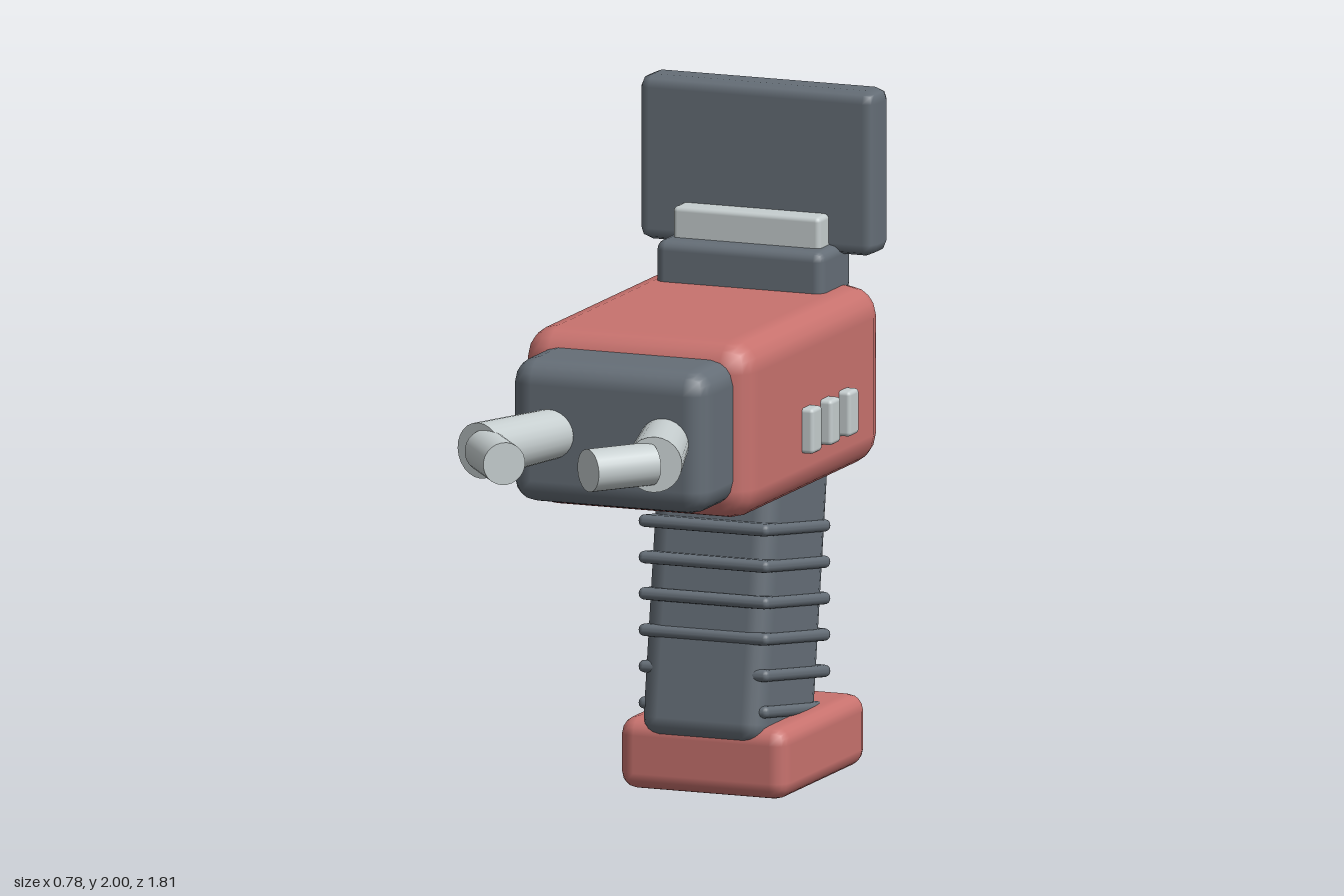
import * as THREE from 'three';
import { RoundedBoxGeometry } from 'three/addons/geometries/RoundedBoxGeometry.js';

const material = (name, color) => {
  const m = new THREE.MeshStandardMaterial({ color });
  m.name = name;
  return m;
};

export function createModel() {
  const group = new THREE.Group();
  const coral = material('coral', 0xc8726e);
  const slate = material('slate', 0x656e77);
  const silver = material('silver', 0xc6cecf);
  const glass = material('darkGlass', 0x263840);

  const add = (name, geometry, mat) => {
    const mesh = new THREE.Mesh(geometry, mat);
    mesh.name = name;
    group.add(mesh);
    return mesh;
  };

  // Rounded box given by its extents on each axis
  const block = (name, mat, [x0, x1], [y0, y1], [z0, z1], radius, segments = 2) => {
    const mesh = add(name, new RoundedBoxGeometry(x1 - x0, y1 - y0, z1 - z0, segments, radius), mat);
    mesh.position.set((x0 + x1) / 2, (y0 + y1) / 2, (z0 + z1) / 2);
    return mesh;
  };

  // Cylinder between two points
  const rod = (name, mat, a, b, ra, rb) => {
    const dir = b.clone().sub(a);
    const mesh = add(name, new THREE.CylinderGeometry(rb, ra, dir.length(), 24), mat);
    mesh.position.copy(a).add(b).multiplyScalar(0.5);
    mesh.quaternion.setFromUnitVectors(new THREE.Vector3(0, 1, 0), dir.normalize());
    return mesh;
  };

  // Main housing, nose and foot
  block('body', coral, [-0.355, 0.355], [0.91, 1.43], [-0.81, 0.22], 0.09);
  block('nose', slate, [-0.305, 0.305], [0.96, 1.38], [0.1, 0.42], 0.07);
  block('base', coral, [-0.26, 0.26], [0, 0.21], [-0.91, -0.285], 0.05);

  // Leaning handle with a stack of grip ribs
  const lean = -0.15;
  const handle = add('handle', new RoundedBoxGeometry(0.38, 0.85, 0.445, 2, 0.06), slate);
  handle.position.set(0, 0.55, -0.545);
  handle.rotation.x = lean;
  for (let i = 0; i < 6; i++) {
    const rib = add('gripRib', new RoundedBoxGeometry(0.405, 0.036, 0.485, 2, 0.017), slate);
    rib.position.set(0, 0.22 + i * 0.106, -0.537);
    rib.rotation.x = lean;
  }

  // Screen mount, light strip and screen
  block('screenMount', slate, [-0.26, 0.26], [1.4, 1.55], [-0.79, -0.565], 0.03);
  block('lightStrip', silver, [-0.228, 0.228], [1.53, 1.64], [-0.72, -0.622], 0.015);
  block('screenCase', slate, [-0.365, 0.365], [1.52, 2], [-0.825, -0.69], 0.035, 1);
  const display = add('display', new THREE.BoxGeometry(0.66, 0.385, 0.008), glass);
  display.position.set(0, 1.77, -0.826);

  // Hinge under the display
  block('hingeBar', silver, [-0.19, 0.19], [1.522, 1.555], [-0.829, -0.79], 0.008);

  for (const s of [-1, 1]) {
    const clip = block('hingeClip', silver, [-0.045, 0.045], [1.526, 1.566], [-0.858, -0.815], 0.01);
    clip.position.x = s * 0.225;

    // Side buttons
    for (const z of [-0.22, -0.358, -0.495]) {
      const button = block('sideButton', silver, [-0.025, 0.025], [1.043, 1.175], [z - 0.036, z + 0.036], 0.012);
      button.position.x = s * 0.365;
    }

    // Two-part claw, bent inward at the tip
    const point = (x, z) => new THREE.Vector3(s * x, 1.17, z);
    rod('clawArm', silver, point(0.165, 0.38), point(0.27, 0.715), 0.072, 0.081);
    rod('clawTip', silver, point(0.255, 0.705), point(0.13, 0.867), 0.062, 0.062);
  }

  return group;
}
